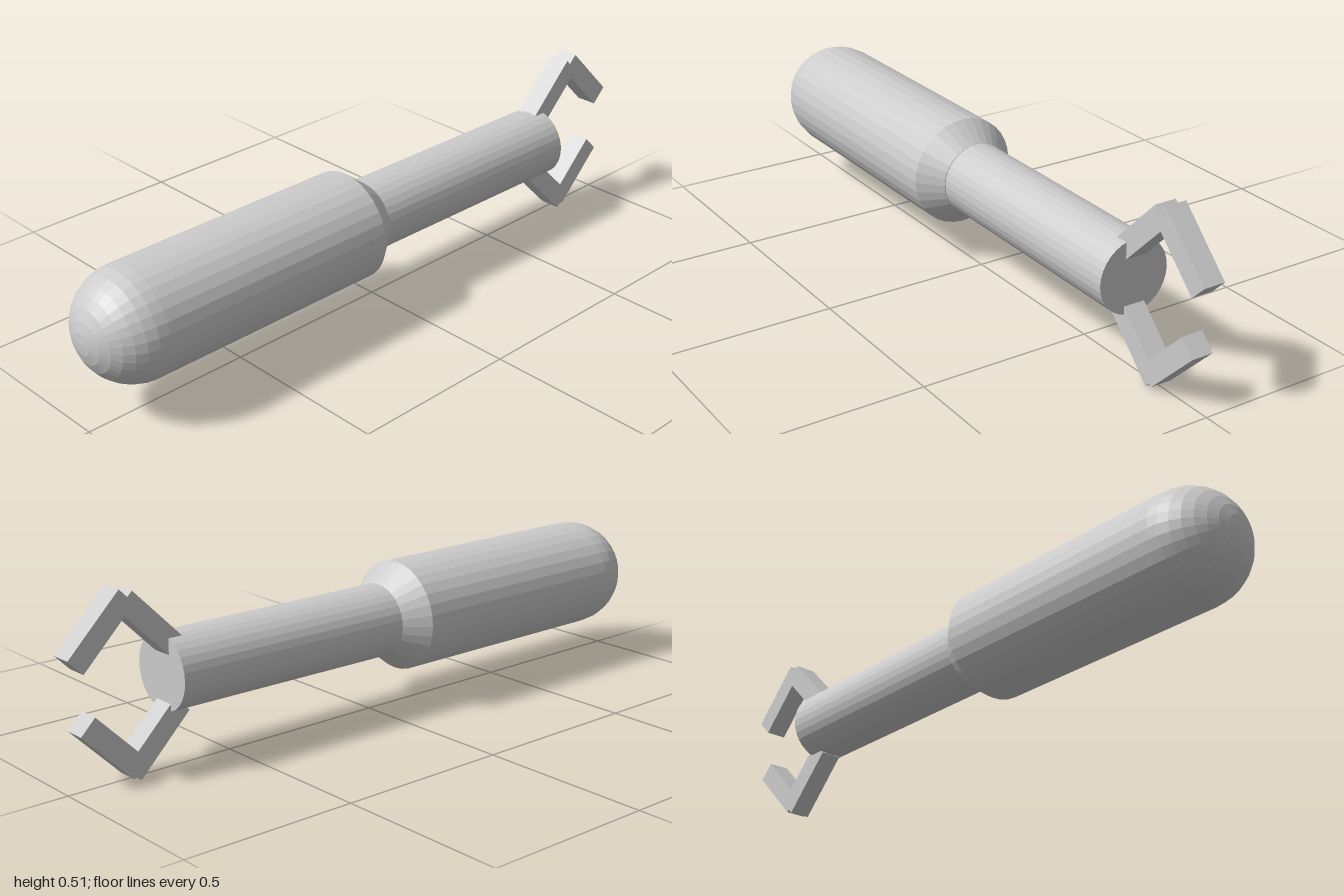
import * as THREE from 'three';

const material = new THREE.MeshStandardMaterial({ color: 0xcccccc, flatShading: true });
const AXIS_Y = 0.261;

function addMesh(parent, name, geometry, x, y, z = 0) {
  const mesh = new THREE.Mesh(geometry, material);
  mesh.name = name;
  mesh.position.set(x, y, z);
  parent.add(mesh);
  return mesh;
}

// Square bar lying in the xy plane, turned by an angle
function addBar(parent, name, length, x, y, angle) {
  const bar = addMesh(parent, name, new THREE.BoxGeometry(length, 0.061, 0.063), x, y);
  bar.rotation.z = angle;
}

export function createModel() {
  const model = new THREE.Group();
  model.name = 'gripperArm';

  // Sleeve: round rear end, straight barrel and tapered collar in one profile
  const R = 0.159;
  const profile = [];
  for (let i = 0; i <= 8; i++) {
    const a = (i / 8) * Math.PI / 2;
    profile.push(new THREE.Vector2(R * Math.sin(a), -0.841 - R * Math.cos(a)));
  }
  profile.push(
    new THREE.Vector2(R, -0.1),
    new THREE.Vector2(0.105, -0.03),
    new THREE.Vector2(0, -0.03)
  );
  const sleeve = addMesh(model, 'sleeve', new THREE.LatheGeometry(profile, 32), 0, AXIS_Y);
  sleeve.rotation.z = -Math.PI / 2;

  // Forearm: slimmer cylinder, very slightly skewed toward the front
  const forearm = new THREE.Group();
  forearm.name = 'forearm';
  forearm.position.set(0.31, AXIS_Y, 0.001);
  forearm.rotation.y = -0.009;
  const rod = addMesh(forearm, 'forearmRod', new THREE.CylinderGeometry(0.105, 0.105, 0.79, 32), 0, 0);
  rod.rotation.z = -Math.PI / 2;
  model.add(forearm);

  // Claws: each one bar outward, one bar back inward
  const q = Math.PI / 4;
  const upperClaw = new THREE.Group();
  upperClaw.name = 'upperClaw';
  addBar(upperClaw, 'upperClawBase', 0.217, 0.7525, 0.4055, q);
  addBar(upperClaw, 'upperClawTip', 0.218, 0.901, 0.415, -q);

  const lowerClaw = new THREE.Group();
  lowerClaw.name = 'lowerClaw';
  addBar(lowerClaw, 'lowerClawBase', 0.219, 0.746, 0.099, -q);
  addBar(lowerClaw, 'lowerClawTip', 0.212, 0.8765, 0.1035, q);
  model.add(upperClaw, lowerClaw);

  return model;
}
